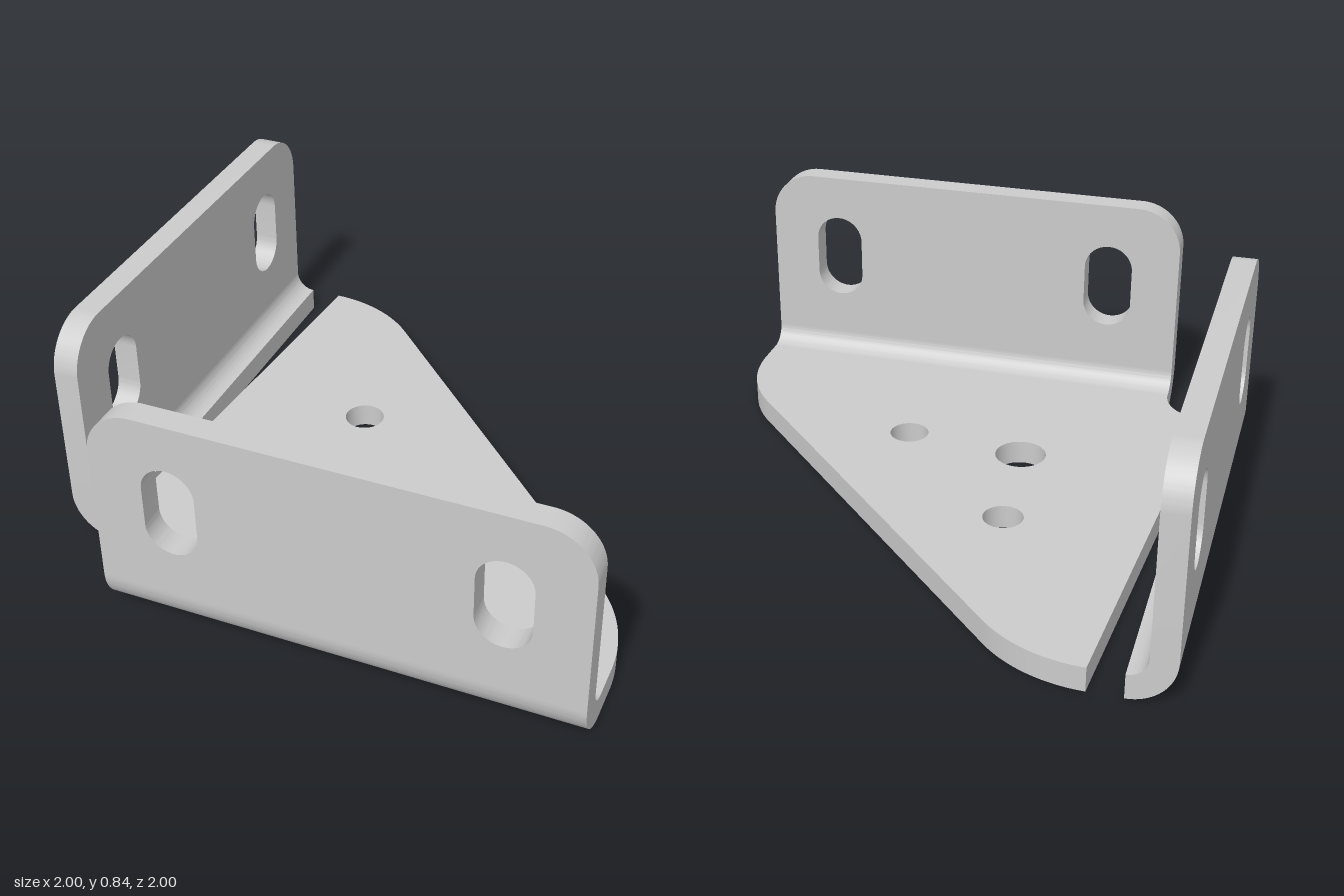
import * as THREE from 'three';
import { toCreasedNormals } from 'three/addons/utils/BufferGeometryUtils.js';

const T = 0.09;            // sheet thickness
const R = 0.16;            // outer bend radius
const HEIGHT = 0.84;       // flange height
const LENGTH = 1.675;      // flange length
const material = new THREE.MeshStandardMaterial({ color: 0xcccccc });

function extrude(shape, depth) {
  return new THREE.ExtrudeGeometry(shape, { depth, bevelEnabled: false, curveSegments: 16 });
}

function part(name, geometry) {
  const mesh = new THREE.Mesh(toCreasedNormals(geometry, 0.6), material);
  mesh.name = name;
  return mesh;
}

function roundHole(x, y, r) {
  return new THREE.Path().absarc(x, y, r, 0, Math.PI * 2, true);
}

// Upright slot between yLow and yHigh
function slot(x, yLow, yHigh, r) {
  const path = new THREE.Path();
  path.absarc(x, yHigh - r, r, 0, Math.PI, false);
  path.absarc(x, yLow + r, r, Math.PI, Math.PI * 2, false);
  path.closePath();
  return path;
}

// Flat triangular base, drawn in x/z and laid down
function basePlate() {
  const s = new THREE.Shape();
  s.moveTo(R - 1, -1);
  s.absarc(-0.72, -0.48, 0.52, -Math.PI / 2, -Math.PI / 4, false);
  s.absarc(0.48, 0.72, 0.52, -Math.PI / 4, 0, false);
  s.lineTo(1, 1 - R);
  // relief notch between the two flanges
  s.absarc(R - 1, 1 - R, 0.165, 0, -Math.PI / 2, true);
  s.closePath();
  s.holes.push(
    roundHole(-0.22, 0.215, 0.095),
    roundHole(-0.265, -0.232, 0.073),
    roundHole(0.23, 0.263, 0.073)
  );
  const geometry = extrude(s, T);
  geometry.rotateX(Math.PI / 2).translate(0, T, 0);
  return part('basePlate', geometry);
}

// Upright slotted wall with its bend, facing +z and centred along x
function flange(name) {
  const group = new THREE.Group();
  group.name = name;
  const h = LENGTH / 2, c = 0.17;

  const wall = new THREE.Shape();
  wall.moveTo(-h, R);
  wall.lineTo(h, R);
  wall.absarc(h - c, HEIGHT - c, c, 0, Math.PI / 2, false);
  wall.absarc(c - h, HEIGHT - c, c, Math.PI / 2, Math.PI, false);
  wall.closePath();
  for (const side of [-1, 1]) wall.holes.push(slot(side * 0.56, 0.335, 0.67, 0.094));
  group.add(part('slottedWall', extrude(wall, T).translate(0, 0, 1 - T)));

  // quarter-round bend joining wall to base
  const bend = new THREE.Shape();
  bend.absarc(1 - R, R, R, -Math.PI / 2, 0, false);
  bend.absarc(1 - R, R, R - T, 0, -Math.PI / 2, true);
  bend.closePath();
  const geometry = extrude(bend, LENGTH).translate(0, 0, -h).rotateY(-Math.PI / 2);
  group.add(part('bend', geometry));
  return group;
}

export function createModel() {
  const model = new THREE.Group();
  model.name = 'cornerBracket';
  const offset = 1 - LENGTH / 2;

  const front = flange('frontFlange');
  front.position.x = offset;

  const side = flange('rightFlange');
  side.rotation.y = -Math.PI / 2;
  side.position.z = -offset;

  model.add(basePlate(), front, side);
  return model;
}
